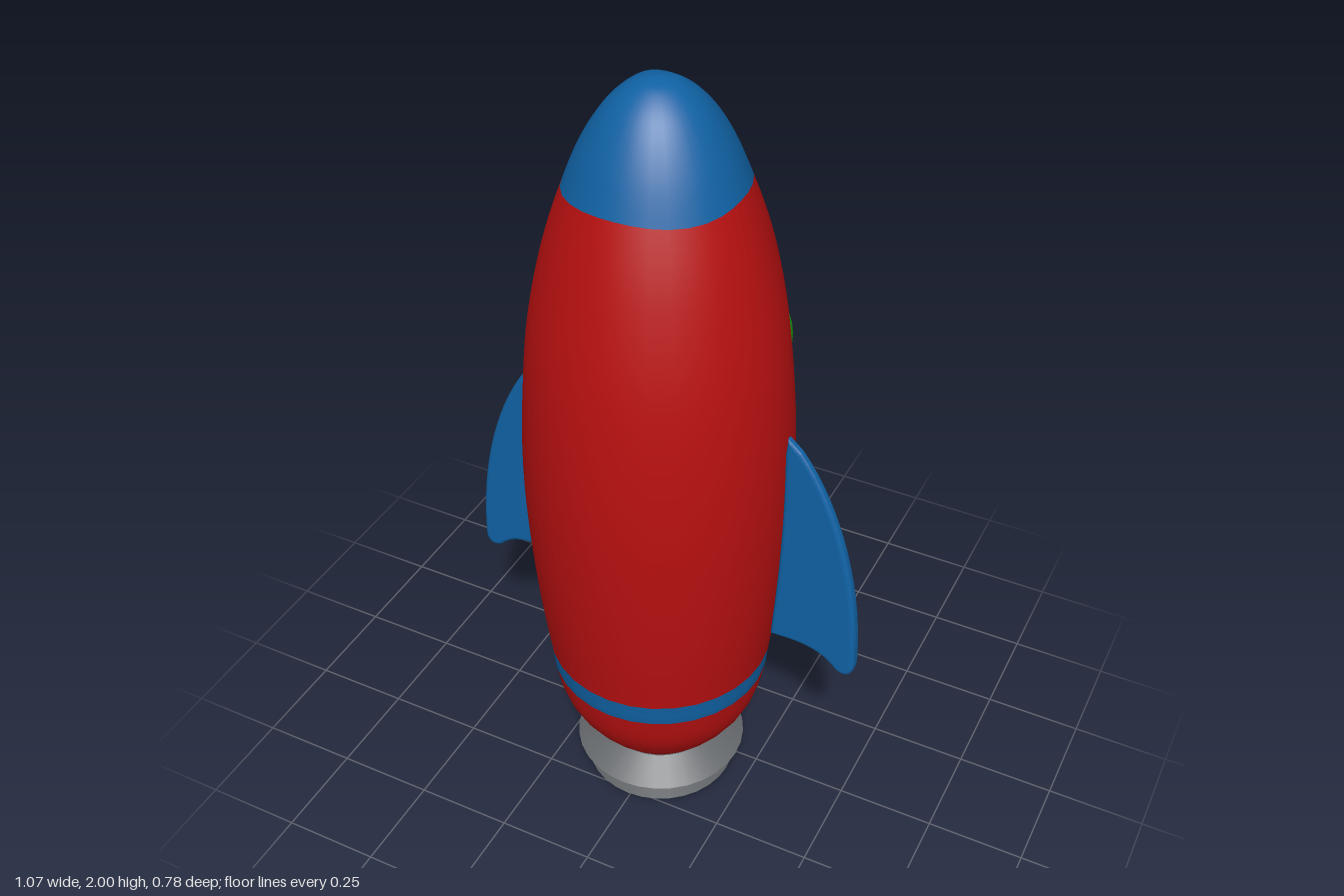
import * as THREE from 'three';

const paint = (color, side = THREE.FrontSide) =>
  new THREE.MeshStandardMaterial({ color, side });
const RED = paint(0xb81010);
const BLUE = paint(0x1062a4, THREE.DoubleSide);
const GREEN = paint(0x1f9a10);
const CYAN = paint(0x12a5dd);
const GREY = paint(0x66696c);

function add(parent, name, geometry, material) {
  const mesh = new THREE.Mesh(geometry, material);
  mesh.name = name;
  parent.add(mesh);
  return mesh;
}

const points = (list) => list.map(([x, y]) => new THREE.Vector2(x, y));

// Hull: one smooth profile, cut into coloured bands at its control points
function buildHull() {
  const hull = new THREE.Group();
  hull.name = 'hull';
  const profile = points([
    [0.15, 0.12], [0.215, 0.2], [0.258, 0.28], [0.279, 0.375], [0.286, 0.437],
    [0.305, 0.6], [0.32, 0.8], [0.326, 1.0], [0.318, 1.2], [0.294, 1.4],
    [0.248, 1.6], [0.197, 1.757], [0.155, 1.86], [0.105, 1.94], [0.05, 1.987], [0, 2],
  ]);
  const steps = 6;
  const curve = new THREE.SplineCurve(profile).getPoints(steps * (profile.length - 1));
  curve[curve.length - 1].x = 0;
  const bands = [
    ['lowerHull', 0, 3, RED], ['hullStripe', 3, 4, BLUE],
    ['mainHull', 4, 11, RED], ['noseCone', 11, 15, BLUE],
  ];
  for (const [name, from, to, material] of bands) {
    const geometry = new THREE.LatheGeometry(curve.slice(from * steps, to * steps + 1), 32);
    // The cross-section becomes slightly square towards the nose
    const p = geometry.attributes.position;
    for (let i = 0; i < p.count; i++) {
      const x = p.getX(i), z = p.getZ(i);
      const amount = THREE.MathUtils.smoothstep(p.getY(i), 1.2, 1.75);
      const k = 1 + 0.07 * amount * Math.sin(2 * Math.atan2(z, x)) ** 2;
      p.setX(i, x * k);
      p.setZ(i, z * k);
    }
    add(hull, name, geometry, material);
  }
  return hull;
}

// Engine: flared nozzle with a conical collar above it
function buildEngine() {
  const engine = new THREE.Group();
  engine.name = 'engine';
  add(engine, 'nozzle', new THREE.CylinderGeometry(0.162, 0.198, 0.075, 32), GREY)
    .position.y = 0.0375;
  add(engine, 'collar', new THREE.CylinderGeometry(0.155, 0.224, 0.052, 32), GREY)
    .position.y = 0.096;
  return engine;
}

// Fin: swept outline with rounded edges, thinner towards its top
function buildFin(name) {
  const b = 0.012;
  const shape = new THREE.Shape();
  shape.moveTo(0.334, 1.17);
  shape.bezierCurveTo(0.44, 1.06, 0.52, 0.83, 0.522, 0.575);
  shape.quadraticCurveTo(0.524, 0.525, 0.492, 0.545);
  shape.bezierCurveTo(0.45, 0.59, 0.4, 0.596, 0.32, 0.588);
  shape.quadraticCurveTo(0.345, 0.9, 0.334, 1.17);
  const geometry = new THREE.ExtrudeGeometry(shape, {
    depth: 0.012, bevelThickness: b, bevelSize: b, bevelSegments: 4, curveSegments: 16,
  });
  geometry.translate(0, 0, -0.006);
  const p = geometry.attributes.position;
  for (let i = 0; i < p.count; i++) {
    const thickness = THREE.MathUtils.mapLinear(p.getY(i), 0.52, 1.19, 1.1, 0.6);
    const lean = (p.getX(i) - 0.32) * 0.03;
    p.setZ(i, p.getZ(i) * thickness + lean);
  }
  geometry.computeVertexNormals();
  const fin = new THREE.Group();
  fin.name = name;
  add(fin, 'finBlade', geometry, BLUE).position.z = 0.012;
  fin.position.z = 0.06;
  return fin;
}

// Porthole: bolted ring around a glass dome, built along +y
function buildPorthole() {
  const porthole = new THREE.Group();
  porthole.name = 'porthole';
  const ring = points([
    [0.12, -0.07], [0.198, -0.07], [0.2, -0.02], [0.196, 0], [0.186, 0.01],
    [0.17, 0.013], [0.145, 0.01], [0.13, 0.002], [0.12, -0.01],
  ]);
  add(porthole, 'portholeRing', new THREE.LatheGeometry(ring, 40), GREEN);
  const dome = new THREE.SphereGeometry(0.136, 32, 16, 0, Math.PI * 2, 0, Math.PI * 0.6);
  add(porthole, 'portholeDome', dome, CYAN).position.y = 0.005;
  const bolt = new THREE.SphereGeometry(1, 12, 8);
  const count = 10;
  for (let i = 0; i < count; i++) {
    const a = ((i + 0.5) / count) * Math.PI * 2;
    const mesh = add(porthole, 'ringBolt', bolt, GREEN);
    mesh.scale.set(0.013, 0.014, 0.025);
    mesh.position.set(0.168 * Math.cos(a), 0.012, 0.168 * Math.sin(a));
    mesh.rotation.y = -a;
  }
  // Faces the back, tilted slightly upwards
  porthole.rotation.x = -(Math.PI / 2 - 0.15);
  porthole.position.set(-0.002, 1.237, -0.25);
  return porthole;
}

export function createModel() {
  const rocket = new THREE.Group();
  rocket.name = 'rocket';

  const body = new THREE.Group();
  body.name = 'body';
  body.add(buildHull(), buildEngine());
  body.position.set(-0.008, 0, 0.065);

  const leftFin = buildFin('leftFin');
  const rightFin = buildFin('rightFin');
  rightFin.rotation.y = Math.PI;

  rocket.add(body, leftFin, rightFin, buildPorthole());
  return rocket;
}
